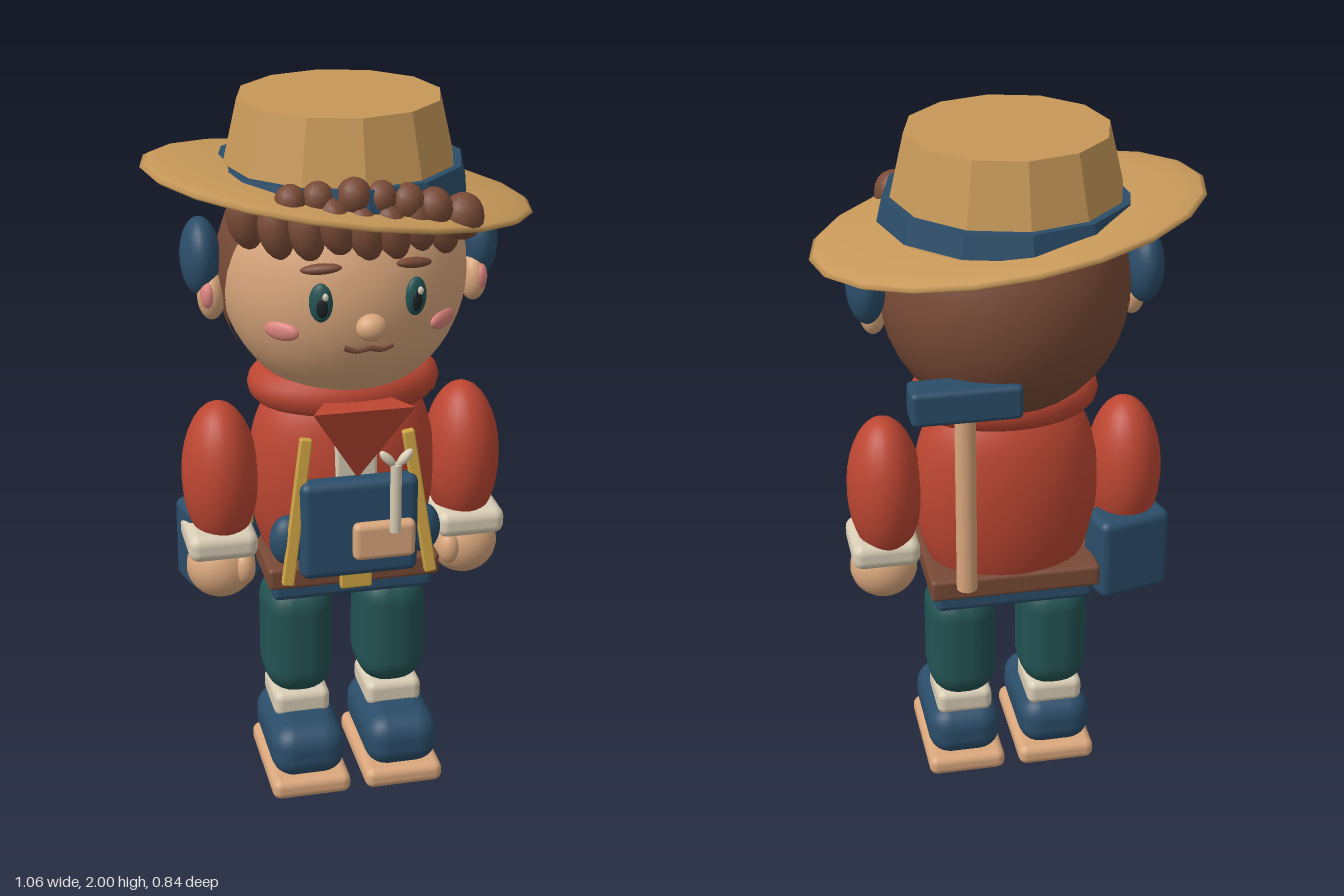
import * as THREE from 'three';
import { RoundedBoxGeometry } from 'three/addons/geometries/RoundedBoxGeometry.js';

const paint = (name, color, extra = {}) => {
  const m = new THREE.MeshStandardMaterial({ color, ...extra });
  m.name = name;
  return m;
};

export function createModel() {
  const skin = paint('skin', 0xd9a67c);
  const straw = paint('straw', 0xc79859);
  const strawFlat = straw;
  const brown = paint('brown', 0x784a36);
  const navy = paint('navy', 0x2b4d69);
  const teal = paint('teal', 0x235252);
  const red = paint('red', 0xbc4632);
  const cream = paint('cream', 0xd8ccb4);
  const gold = paint('gold', 0xcfa444);
  const pink = paint('pink', 0xd9817a);
  const dark = paint('dark', 0x1c2226);

  const model = new THREE.Group();
  model.name = 'explorer';

  const add = (name, geo, mat, pos = [0, 0, 0], rot = [0, 0, 0]) => {
    const mesh = new THREE.Mesh(geo, mat);
    mesh.name = name;
    mesh.position.set(...pos);
    mesh.rotation.set(...rot);
    model.add(mesh);
    return mesh;
  };
  const ball = (name, mat, pos, size, rot, seg = 24) =>
    add(name, new THREE.SphereGeometry(1, seg, Math.ceil(seg * 0.7)).scale(...size), mat, pos, rot);
  const box = (name, mat, pos, size, r = 0.02, rot) =>
    add(name, new RoundedBoxGeometry(...size, 3, r), mat, pos, rot);
  // flat facets for few-sided solids
  const faceted = (geo) => {
    const g = geo.toNonIndexed();
    g.computeVertexNormals();
    return g;
  };

  // Legs and arms, mirrored
  for (const s of [-1, 1]) {
    box('sole', skin, [s * 0.137, 0.033, 0.1], [0.23, 0.062, 0.36], 0.025);
    box('shoe', navy, [s * 0.138, 0.135, 0.1], [0.215, 0.16, 0.345], 0.065);
    box('sock', cream, [s * 0.137, 0.235, 0.05], [0.165, 0.08, 0.185], 0.025);
    box('trouserLeg', teal, [s * 0.137, 0.44, 0.042], [0.2, 0.36, 0.235], 0.085);
    ball('sleeve', red, [s * 0.348, 0.95, 0.043], [0.107, 0.218, 0.132]);
    box('cuff', cream, [s * 0.357, 0.77, 0.053], [0.195, 0.08, 0.21], 0.03);
    ball('hand', skin, [s * 0.355, 0.682, 0.065], [0.098, 0.095, 0.088]);
    ball('thumb', skin, [s * 0.298, 0.69, 0.12], [0.032, 0.05, 0.035]);
  }

  // Torso, hips and belt
  const profile = new THREE.SplineCurve([
    [0, 0.575], [0.1, 0.59], [0.19, 0.66], [0.245, 0.78], [0.266, 0.92],
    [0.256, 1.05], [0.215, 1.16], [0.12, 1.25], [0, 1.27],
  ].map((p) => new THREE.Vector2(...p))).getPoints(28);
  profile.forEach((p) => { p.x = Math.max(p.x, 0); });
  add('jacket', new THREE.LatheGeometry(profile, 32).scale(1, 1, 0.72), red, [0, 0, 0.035]);
  box('hips', navy, [0, 0.645, 0.04], [0.46, 0.07, 0.32], 0.02);
  box('belt', brown, [0, 0.688, 0.042], [0.49, 0.066, 0.345], 0.012);
  box('buckle', gold, [0, 0.678, 0.222], [0.09, 0.055, 0.025], 0.006);
  box('shirtFront', cream, [0, 1.055, 0.213], [0.115, 0.21, 0.04], 0.01);

  // Neckerchief
  add('neckerchief', new THREE.TorusGeometry(0.215, 0.053, 12, 32).rotateX(Math.PI / 2).scale(1, 1, 0.72),
    red, [0, 1.22, 0.06]);
  add('neckerchiefTip', faceted(new THREE.ConeGeometry(0.16, 0.23, 3)), red, [0, 1.107, 0.24], [Math.PI, 0, 0]);

  // Chest pack with straps, pouch and tool
  box('chestPack', navy, [0, 0.855, 0.25], [0.33, 0.29, 0.065], 0.025);
  for (const s of [-1, 1]) {
    ball('sidePocket', navy, [s * 0.19, 0.812, 0.215], [0.052, 0.073, 0.045]);
    box('strap', gold, [s * 0.172, 0.91, 0.25], [0.033, 0.425, 0.025], 0.005, [-0.08, 0, s * 0.145]);
  }
  box('pouch', skin, [0.063, 0.825, 0.292], [0.175, 0.11, 0.04], 0.018);
  add('toolShaft', new THREE.CylinderGeometry(0.016, 0.016, 0.2, 12), cream, [0.085, 0.965, 0.33]);
  for (const s of [-1, 1]) {
    ball('toolFork', cream, [0.085 + s * 0.024, 1.083, 0.33], [0.013, 0.03, 0.014], [0, 0, -s * 0.75], 12);
  }

  // Satchel on the right hip
  box('satchel', navy, [-0.344, 0.72, -0.033], [0.22, 0.25, 0.13], 0.025, [0, 0.26, 0]);
  box('satchelClasp', gold, [-0.29, 0.81, 0.04], [0.07, 0.05, 0.02], 0.006, [0, 0.26, 0]);

  // Mallet on the back
  add('malletHandle', new THREE.CylinderGeometry(0.029, 0.029, 0.56, 12), skin, [0.16, 1.035, -0.225]);
  box('malletHead', navy, [0.16, 1.338, -0.225], [0.3, 0.098, 0.1], 0.015);

  // Head and hair
  const head = { y: 1.54, z: 0.05, rx: 0.336, ry: 0.355, rz: 0.328 };
  const faceZ = (x, y) =>
    head.z + head.rz * Math.sqrt(1 - (x / head.rx) ** 2 - ((y - head.y) / head.ry) ** 2);
  ball('head', skin, [0, head.y, head.z], [head.rx, head.ry, head.rz], undefined, 36);
  add('hair',
    new THREE.SphereGeometry(1, 36, 24, 0, Math.PI * 2, 0, 1.81).rotateX(-1.287)
      .scale(head.rx + 0.009, head.ry + 0.008, head.rz + 0.008),
    brown, [0, head.y, head.z]);

  // Fringe: long locks below the brim, small curls above it
  for (let i = 0; i < 8; i++) {
    const x = -0.295 + i * 0.072;
    const z = 0.335 - 1.3 * x * x;
    ball('lock', brown, [x, 1.725 + 0.012 * Math.cos(i * 2.1) - 0.05 * Math.max(x, 0), z],
      [0.046, 0.078, 0.05], [0, 0, 0.25], 14);
  }
  const curls = [[-0.19, 1.8, 0.295, 0.042], [-0.12, 1.805, 0.3, 0.042], [-0.03, 1.81, 0.315, 0.046],
    [0.04, 1.8, 0.31, 0.043], [0.11, 1.785, 0.31, 0.046], [0.18, 1.765, 0.31, 0.05], [0.262, 1.735, 0.298, 0.056]];
  for (const [x, y, z, r] of curls) ball('curl', brown, [x, y, z], [r, r * 1.1, r], undefined, 14);

  // Face
  for (const s of [-1, 1]) {
    const ex = s * 0.125;
    const ez = faceZ(ex, 1.55);
    ball('eye', teal, [ex, 1.547, ez], [0.031, 0.052, 0.018], [0, s * 0.35, 0]);
    ball('pupil', dark, [ex, 1.54, ez + 0.013], [0.016, 0.03, 0.009], [0, s * 0.35, 0], 14);
    ball('eyeGlint', cream, [ex + 0.008, 1.567, ez + 0.018], [0.008, 0.011, 0.006], undefined, 10);
    ball('eyebrow', brown, [s * 0.122, 1.634, faceZ(0.122, 1.634)], [0.055, 0.014, 0.018], [0, s * 0.35, -s * 0.12], 14);
    ball('cheek', pink, [s * 0.215, 1.455, faceZ(0.215, 1.455)], [0.052, 0.026, 0.016], [0, s * 0.72, 0], 18);
    ball('ear', skin, [s * 0.362, 1.488, 0.065], [0.038, 0.068, 0.05]);
    ball('innerEar', pink, [s * 0.374, 1.495, 0.085], [0.022, 0.042, 0.034], undefined, 14);
    ball('earMuff', navy, [s * 0.383, 1.583, 0.022], [0.054, 0.109, 0.088]);
  }
  ball('nose', skin, [0, 1.483, 0.39], [0.041, 0.036, 0.034]);
  const lip = [[-0.065, 1.42], [-0.035, 1.41], [0, 1.416], [0.035, 1.41], [0.065, 1.42]]
    .map(([x, y]) => new THREE.Vector3(x, y, faceZ(x, y) + 0.003));
  add('moustache', new THREE.TubeGeometry(new THREE.CatmullRomCurve3(lip), 16, 0.008, 6), brown);

  // Hat with tilted brim
  ball('hatBrim', straw, [0, 1.752, 0], [0.538, 0.04, 0.42], [0, 0, -0.147], 20);
  add('hatCrown', faceted(new THREE.CylinderGeometry(0.274, 0.332, 0.25, 12)), strawFlat, [0, 1.875, 0.007]);
  add('hatBand', faceted(new THREE.CylinderGeometry(0.335, 0.35, 0.065, 12)), navy, [0, 1.797, 0.007]);

  return model;
}
